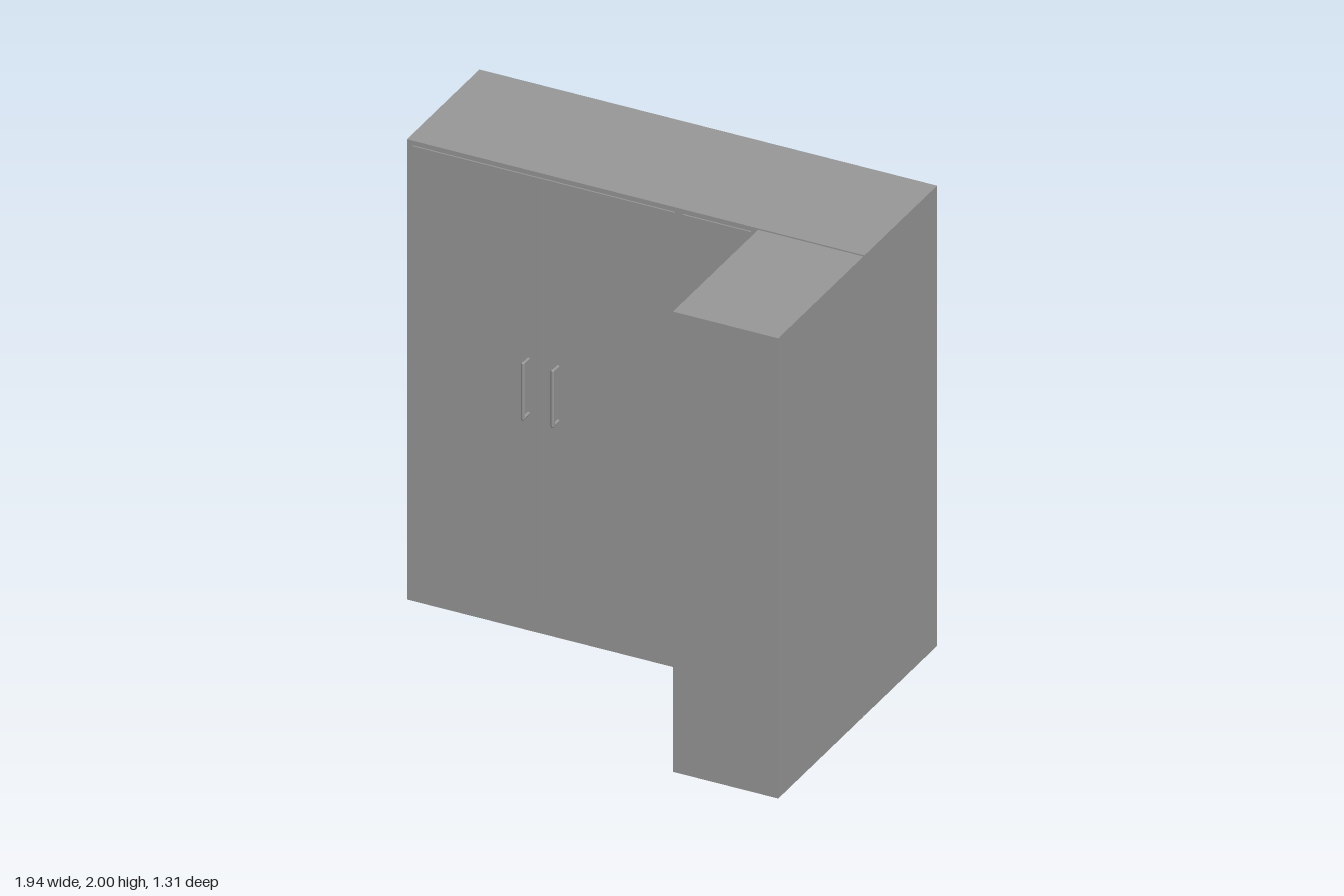
import * as THREE from 'three';

const H = 2, T = 0.02;        // cabinet height, board thickness
const SILL = 0.135, HEAD = 1.98; // door opening bottom and top

export function createModel() {
  const grey = new THREE.MeshStandardMaterial({ color: 0x999999 });
  grey.name = 'cabinet grey';

  const add = (parent, name, geometry, x, y, z) => {
    const mesh = new THREE.Mesh(geometry, grey);
    mesh.name = name;
    mesh.position.set(x, y, z);
    parent.add(mesh);
    return mesh;
  };
  const board = (parent, name, w, h, d, x, y, z) =>
    add(parent, name, new THREE.BoxGeometry(w, h, d), x, y, z);

  // Bar pull: rounded upright grip on two short posts
  function addHandle(parent, x, z) {
    const handle = new THREE.Group();
    handle.name = 'handle';
    handle.position.set(x, 1.065, z);
    add(handle, 'handleGrip', new THREE.CapsuleGeometry(0.008, 0.238, 4, 10), 0, 0, 0.047);
    for (const s of [-1, 1]) {
      const post = add(handle, 'handlePost', new THREE.CylinderGeometry(0.007, 0.007, 0.05, 10), 0, s * 0.118, 0.022);
      post.rotation.x = Math.PI / 2;
    }
    parent.add(handle);
  }

  // Hollow cabinet facing +z, open underneath
  // openings: [left, right]; doors: [left, right, handle position]
  function cabinet(name, w, d, openings, doors) {
    const g = new THREE.Group();
    g.name = name;
    board(g, 'topPanel', w, T, d, 0, H - T / 2, 0);
    board(g, 'backPanel', w, H - T, T, 0, (H - T) / 2, -d / 2 + T / 2);
    for (const s of [-1, 1])
      board(g, 'sidePanel', T, H - T, d - 2 * T, s * (w - T) / 2, (H - T) / 2, 0);

    // Front frame with plinth and door openings
    const rect = (P, x0, x1, y0, y1) => {
      const p = new P();
      p.moveTo(x0, y0);
      p.lineTo(x1, y0);
      p.lineTo(x1, y1);
      p.lineTo(x0, y1);
      p.closePath();
      return p;
    };
    const frame = rect(THREE.Shape, -w / 2, w / 2, 0, H - T / 4);
    for (const [a, b] of openings) frame.holes.push(rect(THREE.Path, a, b, SILL, HEAD));
    add(g, 'frontFrame', new THREE.ExtrudeGeometry(frame, { depth: T, bevelEnabled: false }), 0, 0, d / 2 - T);

    // Doors stand slightly proud of the frame
    const proud = 0.006, thick = 0.046;
    for (const [a, b, hx] of doors) {
      board(g, 'door', b - a, HEAD - SILL, thick, (a + b) / 2, (SILL + HEAD) / 2, d / 2 + proud - thick / 2);
      addHandle(g, hx, d / 2 + proud - 0.004);
    }
    return g;
  }

  const model = new THREE.Group();
  model.name = 'cornerWardrobe';

  const main = cabinet('mainCabinet', 1.944, 0.6,
    [[-0.947, 0.168], [0.203, 0.492]],
    [[-0.947, -0.391, -0.453], [-0.389, 0.168, -0.327], [0.203, 0.492, 0.247]]);
  main.position.z = -0.357;

  // Side cabinet turned so its doors face -x
  const side = cabinet('sideCabinet', 0.704, 0.447,
    [[-0.327, 0.327]],
    [[-0.327, -0.001, -0.054], [0.001, 0.327, 0.046]]);
  side.rotation.y = -Math.PI / 2;
  side.position.set(0.7485, 0, 0.304);

  model.add(main, side);
  return model;
}
